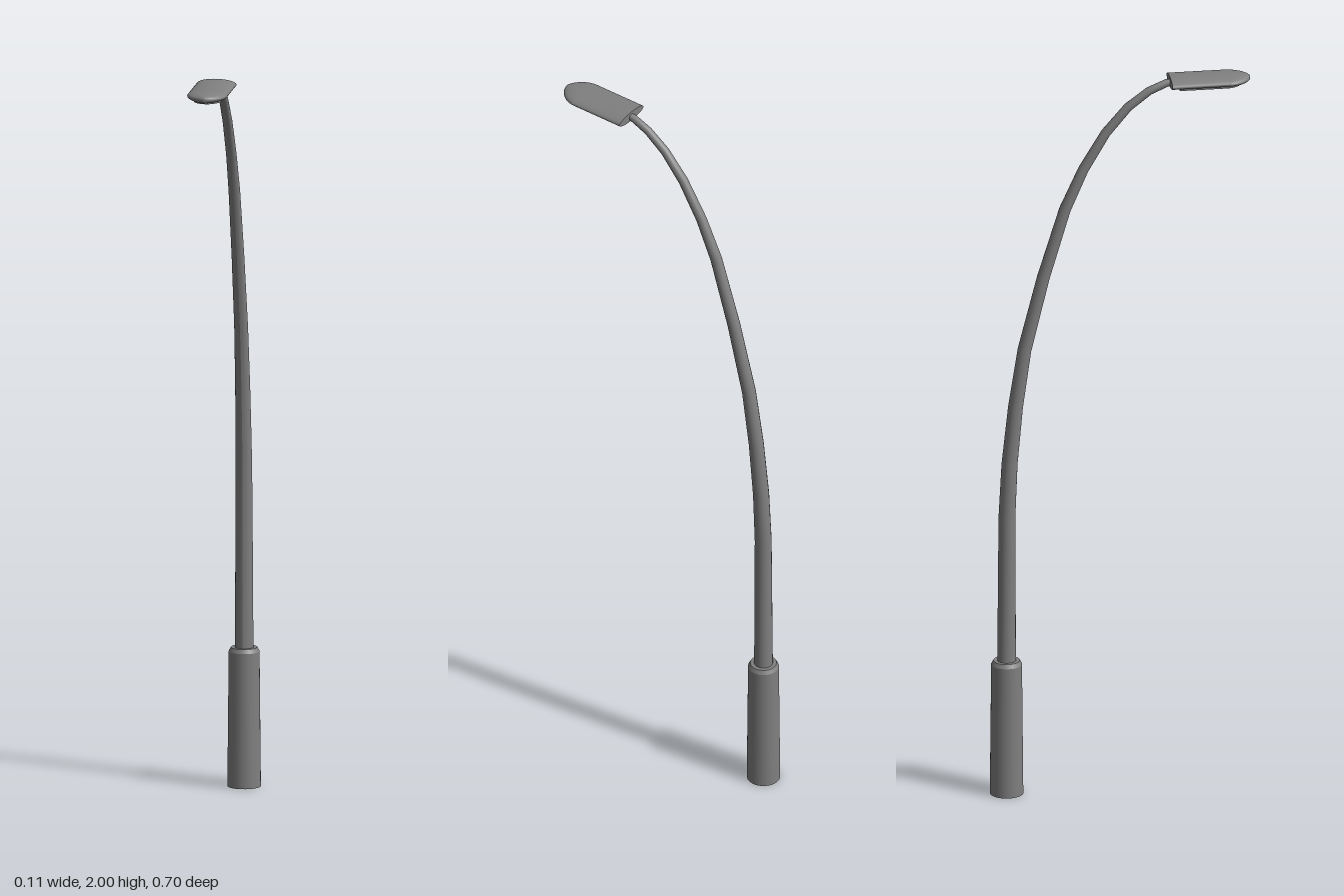
import * as THREE from 'three';

const material = new THREE.MeshStandardMaterial({ color: 0x808080 });
const POLE_Z = -0.303;

function addMesh(parent, name, geometry) {
  const mesh = new THREE.Mesh(geometry, material);
  mesh.name = name;
  parent.add(mesh);
  return mesh;
}

// Tapered tube through stations [y, z, radius] lying in the plane x = 0
function taperedTube(stations, sides) {
  const rows = stations.length - 1;
  const geometry = new THREE.CylinderGeometry(1, 1, 1, sides, rows);
  const pos = geometry.attributes.position;
  for (let i = 0; i < pos.count; i++) {
    const k = Math.round((pos.getY(i) + 0.5) * rows);
    const [y, z, r] = stations[k];
    const before = stations[Math.max(k - 1, 0)];
    const after = stations[Math.min(k + 1, rows)];
    const tangent = new THREE.Vector2(after[0] - before[0], after[1] - before[1]).normalize();
    const side = pos.getZ(i) * r;
    pos.setXYZ(i, pos.getX(i) * r, y - side * tangent.y, z + side * tangent.x);
  }
  geometry.computeVertexNormals();
  return geometry;
}

// Bullet outline turned around z, flattened into a lens section with a blunt tip
function bulletShell(width, height, back, shoulder, tip) {
  const profile = [new THREE.Vector2(width, back)];
  for (let i = 0; i <= 12; i++) {
    const a = (i / 12) * Math.PI / 2;
    profile.push(new THREE.Vector2(
      i === 12 ? 0 : width * Math.cos(a) ** 1.15,
      shoulder + (tip - shoulder) * Math.sin(a) ** 1.15));
  }
  const geometry = new THREE.LatheGeometry(profile, 32).rotateX(Math.PI / 2);
  const pos = geometry.attributes.position;
  for (let i = 0; i < pos.count; i++) {
    const fraction = Math.hypot(pos.getX(i), pos.getY(i)) / width;
    // Thickness falls off more slowly than width
    if (fraction > 0) pos.setY(i, pos.getY(i) * height / (width * Math.sqrt(fraction)));
  }
  geometry.computeVertexNormals();
  return geometry;
}

export function createModel() {
  const lamp = new THREE.Group();
  lamp.name = 'streetLamp';

  // Base sleeve with a chamfered top
  const base = new THREE.Group();
  base.name = 'base';
  base.position.z = POLE_Z;
  lamp.add(base);
  const sleeve = addMesh(base, 'sleeve', new THREE.CylinderGeometry(0.041, 0.0445, 0.364, 24));
  sleeve.position.y = 0.182;
  const chamfer = addMesh(base, 'sleeveChamfer', new THREE.CylinderGeometry(0.035, 0.041, 0.011, 24));
  chamfer.position.y = 0.3695;

  // Curved pole, thinning toward the head
  addMesh(lamp, 'pole', taperedTube([
    [0.36, POLE_Z, 0.025],
    [0.78, -0.302, 0.0225],
    [0.93, -0.295, 0.0215],
    [1.09, -0.279, 0.02],
    [1.25, -0.255, 0.0185],
    [1.45, -0.205, 0.017],
    [1.64, -0.147, 0.0155],
    [1.75, -0.098, 0.014],
    [1.85, -0.038, 0.013],
    [1.92, 0.022, 0.012],
    [1.962, 0.078, 0.011],
    [1.982, 0.125, 0.0105],
    [1.985, 0.16, 0.009],
  ], 16));

  // Flat lens-shaped lamp head
  const head = new THREE.Group();
  head.name = 'lampHead';
  head.position.y = 1.986;
  lamp.add(head);
  addMesh(head, 'headShell', bulletShell(0.053, 0.014, 0.133, 0.288, 0.348));
  const backCap = addMesh(head, 'headBack',
    new THREE.CircleGeometry(0.053, 32).rotateY(Math.PI).scale(1, 0.014 / 0.053, 1));
  backCap.position.z = 0.133;

  // Slim light panel on the underside
  const panel = new THREE.Shape();
  panel.moveTo(-0.036, 0.155);
  panel.lineTo(0.036, 0.155);
  panel.lineTo(0.036, 0.28);
  panel.absellipse(0, 0.28, 0.036, 0.042, 0, Math.PI, false);
  panel.closePath();
  const light = addMesh(head, 'lightPanel', new THREE.ExtrudeGeometry(panel,
    { depth: 0.006, bevelEnabled: false, curveSegments: 16 }).rotateX(Math.PI / 2));
  light.position.y = -0.0095;

  return lamp;
}
